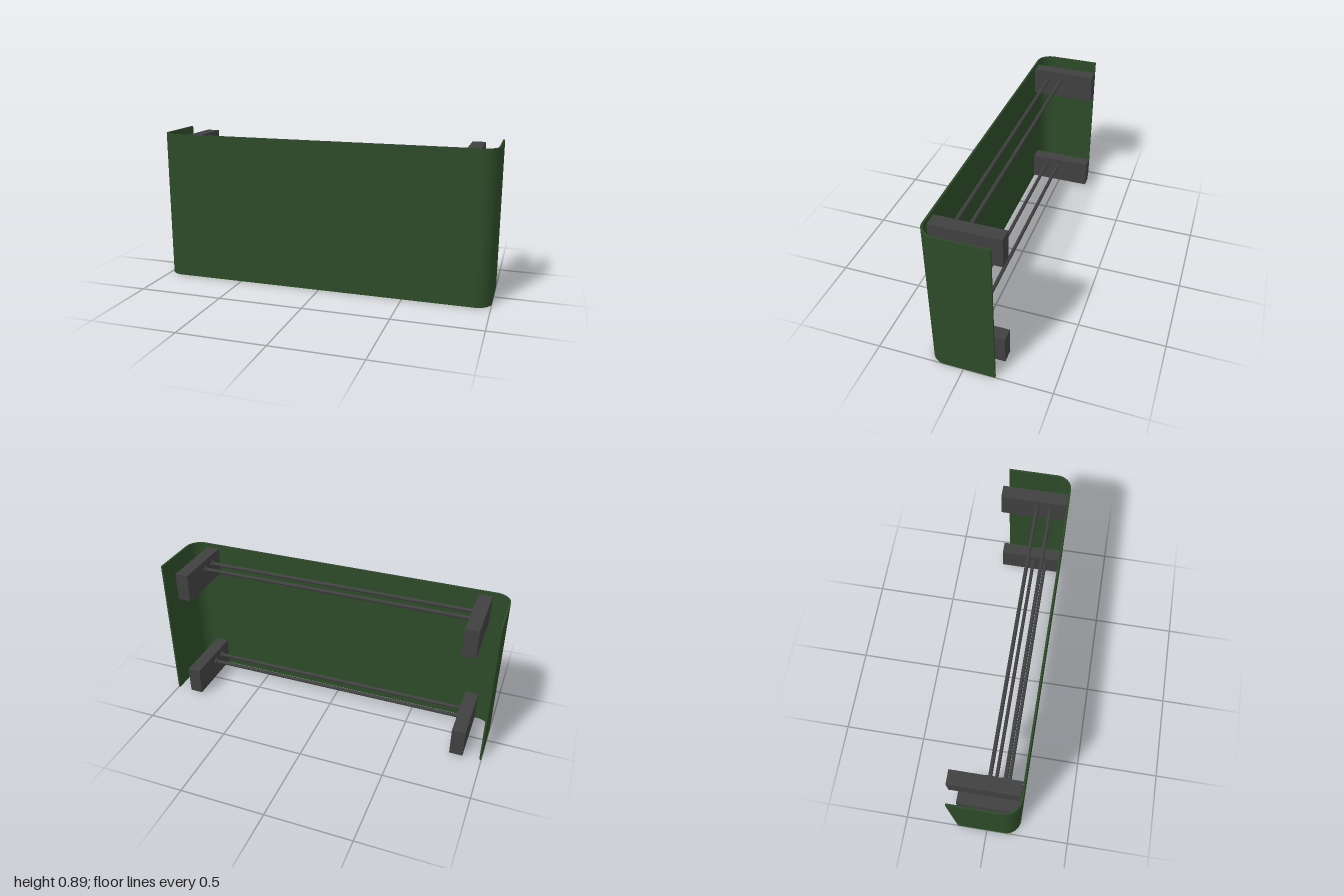
import * as THREE from 'three';
import { toCreasedNormals } from 'three/addons/utils/BufferGeometryUtils.js';

const HEIGHT = 0.89;
const green = new THREE.MeshStandardMaterial({ color: 0x2d4a28 });
const dark = new THREE.MeshStandardMaterial({ color: 0x404040 });

function add(parent, name, geometry, material, x, y, z) {
  const mesh = new THREE.Mesh(geometry, material);
  mesh.name = name;
  mesh.position.set(x, y, z);
  parent.add(mesh);
}

// Thin U-shaped sheet, open at the back, with rounded front corners
function panelGeometry() {
  const back = 0.18, front = -0.2, r = 0.09, t = 0.011;
  const s = new THREE.Shape();
  s.moveTo(-1, back);
  s.lineTo(-1, front + r);
  s.absarc(-1 + r, front + r, r, Math.PI, Math.PI * 1.5, false);
  s.lineTo(1 - r, front);
  s.absarc(1 - r, front + r, r, -Math.PI / 2, 0, false);
  s.lineTo(1, back);
  s.lineTo(1 - t, back);
  s.lineTo(1 - t, front + r);
  s.absarc(1 - r, front + r, r - t, 0, -Math.PI / 2, true);
  s.lineTo(-1 + r, front + t);
  s.absarc(-1 + r, front + r, r - t, Math.PI * 1.5, Math.PI, true);
  s.lineTo(-1 + t, back);
  s.closePath();
  const g = new THREE.ExtrudeGeometry(s, { depth: HEIGHT, bevelEnabled: false, curveSegments: 16 });
  g.rotateX(-Math.PI / 2);
  return toCreasedNormals(g, 0.6);
}

export function createModel() {
  const model = new THREE.Group();
  add(model, 'wrapPanel', panelGeometry(), green, 0, 0, 0);

  const block = new THREE.BoxGeometry(0.078, 0.168, 0.387);
  const rod = new THREE.CylinderGeometry(0.011, 0.011, 1.64, 20).rotateZ(Math.PI / 2);
  const collar = new THREE.CylinderGeometry(0.021, 0.021, 0.012, 24).rotateZ(Math.PI / 2);

  // Upper and lower rails: two end blocks joined by a pair of rods
  for (const [name, y] of [['lowerRail', 0.1], ['upperRail', 0.784]]) {
    const rail = new THREE.Group();
    rail.name = name;
    rail.position.y = y;
    for (const side of [-1, 1]) add(rail, 'endBlock', block, dark, side * 0.854, 0, -0.0065);
    for (const z of [0.013, 0.094]) {
      add(rail, 'rod', rod, dark, 0, 0.026, z);
      for (const side of [-1, 1]) add(rail, 'rodCollar', collar, dark, side * 0.811, 0.026, z);
    }
    model.add(rail);
  }
  return model;
}
